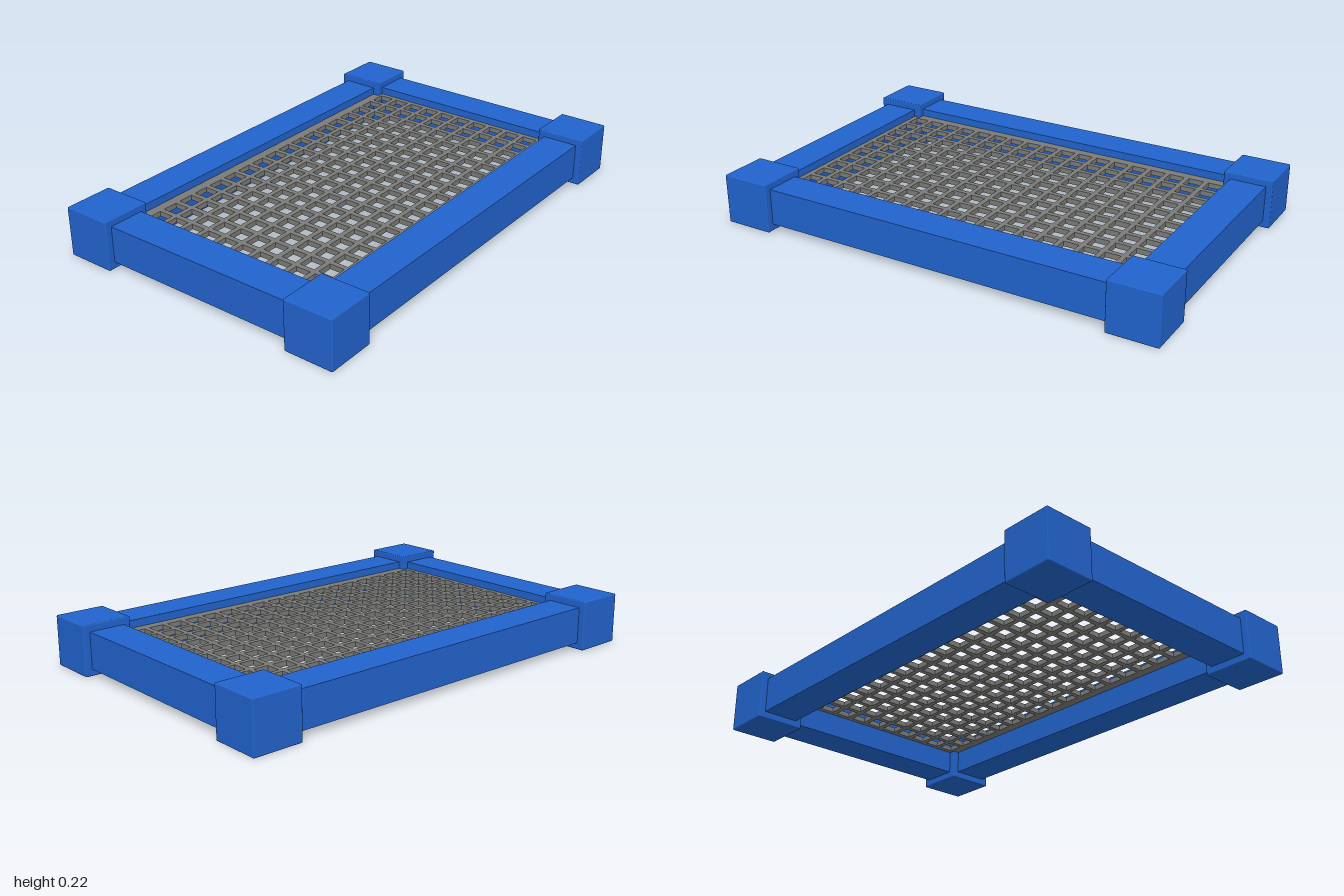
import * as THREE from 'three';
import { RoundedBoxGeometry } from 'three/addons/geometries/RoundedBoxGeometry.js';

const CORNER = 0.217, RAIL = 0.158;      // square section sizes
const CX = 0.555, CZ = 0.891;            // corner block centres
const PITCH = 0.0889, BAR = 0.022;       // grille spacing and bar width
const COLS = 10, ROWS = 18;

function rectangle(target, x, y, w, h) {
  target.moveTo(x - w / 2, y - h / 2);
  target.lineTo(x + w / 2, y - h / 2);
  target.lineTo(x + w / 2, y + h / 2);
  target.lineTo(x - w / 2, y + h / 2);
  target.closePath();
  return target;
}

export function createModel() {
  const blue = new THREE.MeshStandardMaterial({ name: 'blue', color: 0x2163cc });
  const grey = new THREE.MeshStandardMaterial({ name: 'grey', color: 0x7a7a78 });
  const model = new THREE.Group();
  model.name = 'framedGrille';

  const add = (name, geometry, material, x, y, z) => {
    const mesh = new THREE.Mesh(geometry, material);
    mesh.name = name;
    mesh.position.set(x, y, z);
    model.add(mesh);
    return mesh;
  };

  // Corner blocks with slightly softened edges, joined by square rails
  const block = new RoundedBoxGeometry(CORNER, CORNER, CORNER, 2, 0.005);
  const sideRail = new THREE.BoxGeometry(RAIL, RAIL, 2 * CZ - CORNER + 0.01);
  const endRail = new THREE.BoxGeometry(2 * CX - CORNER + 0.01, RAIL, RAIL);
  const mid = CORNER / 2;
  for (const s of [-1, 1]) {
    for (const t of [-1, 1]) {
      add(`${t > 0 ? 'front' : 'back'}${s > 0 ? 'Left' : 'Right'}Corner`, block, blue, s * CX, mid, t * CZ);
    }
    add(s > 0 ? 'leftRail' : 'rightRail', sideRail, blue, s * CX, mid, 0);
    add(s > 0 ? 'frontRail' : 'backRail', endRail, blue, 0, mid, s * CZ);
  }

  // Grille: one plate pierced by a grid of square holes
  const plate = rectangle(new THREE.Shape(), 0, 0, 0.96, 1.63);
  for (let i = 0; i < COLS; i++) {
    for (let j = 0; j < ROWS; j++) {
      const x = (i - (COLS - 1) / 2) * PITCH;
      const y = (j - (ROWS - 1) / 2) * PITCH;
      plate.holes.push(rectangle(new THREE.Path(), x, y, PITCH - BAR, PITCH - BAR));
    }
  }
  const grille = new THREE.ExtrudeGeometry(plate, { depth: BAR, bevelEnabled: false });
  grille.rotateX(-Math.PI / 2);
  add('grille', grille, grey, 0, 0.132, 0);

  return model;
}
